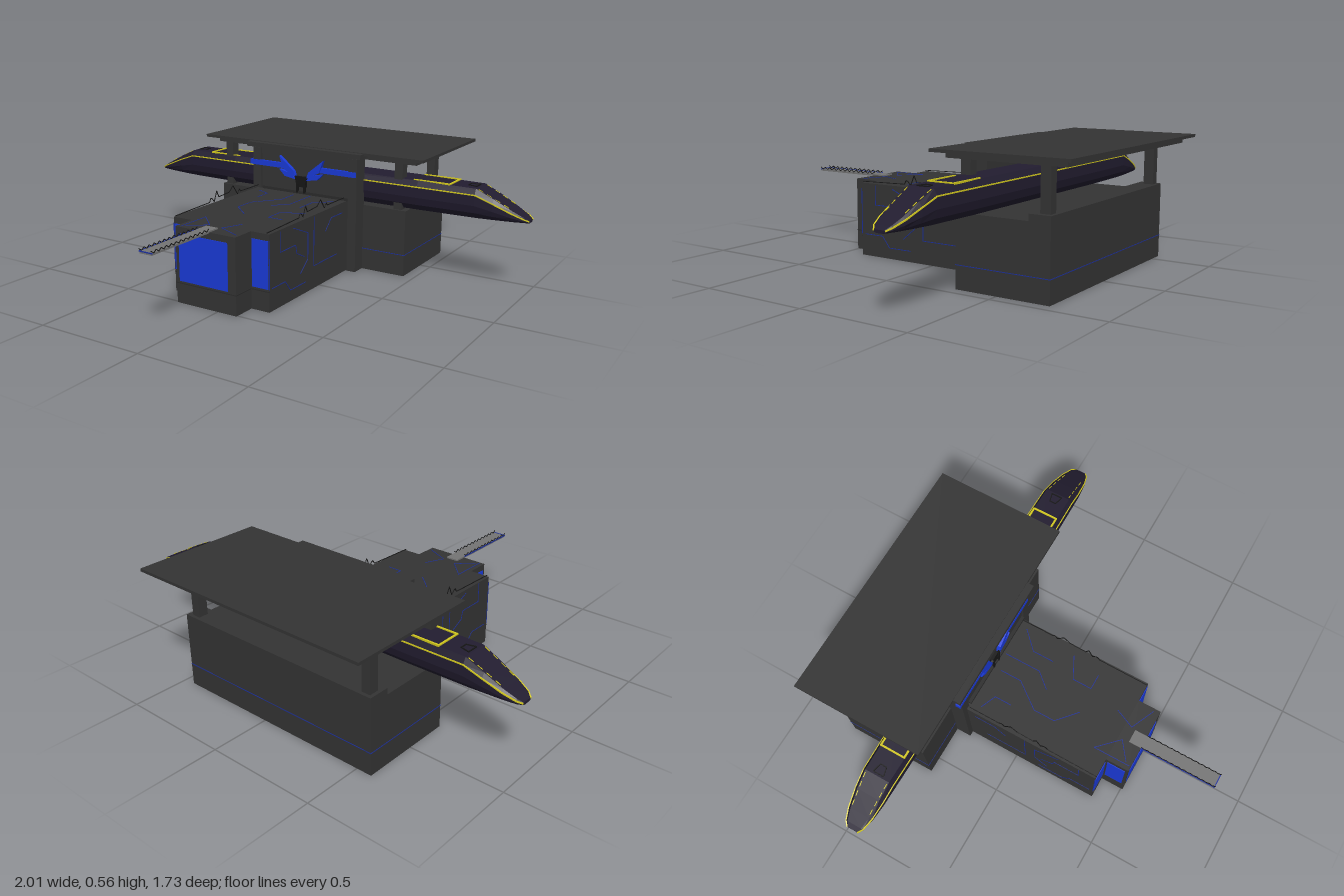
import * as THREE from 'three';

const mat = (color, extra = {}) => new THREE.MeshStandardMaterial({ color, ...extra });
const HULL = mat(0x343434), TRIM = mat(0x2b2b2b), BLUE = mat(0x1a3ad8), CIRCUIT = mat(0x1c2f9c);
const WING = mat(0x221d30, { flatShading: true, side: THREE.DoubleSide });
const YELLOW = mat(0xd2c81e), PLANK = mat(0x747474), BLACK = mat(0x161616);

export function createModel() {
  const model = new THREE.Group();

  const add = (name, geometry, material, parent = model) => {
    const m = new THREE.Mesh(geometry, material);
    m.name = name;
    parent.add(m);
    return m;
  };
  const box = (name, material, [x0, x1], [y0, y1], [z0, z1]) => {
    const m = add(name, new THREE.BoxGeometry(x1 - x0, y1 - y0, z1 - z0), material);
    m.position.set((x0 + x1) / 2, (y0 + y1) / 2, (z0 + z1) / 2);
    return m;
  };
  // Thin square bars joining a list of points
  const bars = (name, material, points, t = 0.004) => {
    const g = new THREE.Group();
    g.name = name;
    const p = points.map(q => new THREE.Vector3(...q));
    for (let i = 0; i < p.length - 1; i++) {
      const m = add(name + 'Bar', new THREE.BoxGeometry(t, t, p[i].distanceTo(p[i + 1]) + t * 0.5), material, g);
      m.position.copy(p[i]).lerp(p[i + 1], 0.5);
      m.lookAt(p[i + 1]);
    }
    model.add(g);
  };

  // Rear building with a raised back ledge
  box('rearBuilding', HULL, [-0.57, 0.45], [0, 0.31], [-0.735, -0.31]);
  box('rearLedge', HULL, [-0.57, 0.45], [0.31, 0.338], [-0.735, -0.64]);
  bars('rearBand', CIRCUIT, [[-0.57, 0.1, -0.31], [-0.57, 0.1, -0.735], [0.45, 0.1, -0.735],
    [0.45, 0.1, -0.31], [-0.57, 0.1, -0.31]], 0.003);

  // Front hall and narrower nose
  box('frontHall', HULL, [-0.31, 0.185], [0, 0.337], [-0.32, 0.4]);
  box('nose', HULL, [-0.212, 0.095], [0, 0.337], [0.4, 0.508]);
  box('noseWindow', BLUE, [-0.195, 0.055], [0.1, 0.308], [0.5, 0.511]);
  box('noseSideWindow', BLUE, [-0.215, -0.205], [0.1, 0.308], [0.41, 0.495]);
  box('rightWindow', BLUE, [-0.305, -0.217], [0.1, 0.308], [0.395, 0.403]);
  box('leftWindow', BLUE, [0.1, 0.18], [0.1, 0.308], [0.395, 0.403]);
  bars('windowTrim', TRIM, [[-0.31, 0.09, 0.402], [-0.212, 0.09, 0.402], [-0.212, 0.09, 0.508],
    [0.095, 0.09, 0.508], [0.095, 0.09, 0.402], [0.185, 0.09, 0.402]]);

  // Boarding plank with toothed edges
  box('plank', PLANK, [-0.095, -0.035], [0.334, 0.343], [0.45, 0.86]);
  for (const x of [-0.095, -0.035]) {
    const teeth = [];
    for (let i = 0; i <= 24; i++) teeth.push([x, i % 2 ? 0.343 : 0.353, 0.51 + i * 0.0147]);
    bars('plankTeeth', BLACK, teeth, 0.003);
  }
  bars('plankTrim', CIRCUIT, [[-0.097, 0.343, 0.51], [-0.097, 0.343, 0.86], [-0.033, 0.343, 0.86]]);

  // Jagged wire railings along the hall roof
  for (const x of [-0.3, 0.175]) {
    bars('railing', BLACK, [[x, 0.342, 0.4], [x, 0.348, 0.16], [x, 0.365, 0.15], [x, 0.362, 0.14],
      [x, 0.345, 0.125], [x, 0.39, 0.105], [x, 0.36, 0.09], [x, 0.365, 0.01], [x, 0.39, -0.02],
      [x, 0.345, -0.055], [x, 0.365, -0.07], [x, 0.352, -0.08], [x, 0.352, -0.23]], 0.003);
  }

  // Circuit lines on both hall sides, as [z, y]
  const sideLines = [
    [[0.32, 0.33], [0.32, 0.24], [0.2, 0.24], [0.19, 0.2], [0.13, 0.17]],
    [[0.05, 0.33], [0.05, 0.105], [-0.15, 0.105]],
    [[0.22, 0.32], [0.1, 0.27], [0.1, 0.15], [0.16, 0.1]],
    [[-0.05, 0.24], [-0.1, 0.29], [-0.2, 0.29]],
    [[0.38, 0.1], [0.28, 0.1], [0.24, 0.05], [0.12, 0.05]],
    [[0.4, 0.31], [0.4, 0.1]],
  ];
  for (const x of [-0.31, 0.185])
    for (const l of sideLines) bars('sideCircuit', CIRCUIT, l.map(([z, y]) => [x, y, z]), 0.003);

  // Circuit lines on the hall roof, as [x, z]
  const roofLines = [
    [[-0.27, -0.19], [-0.2, -0.16], [-0.2, -0.08]],
    [[-0.08, -0.2], [-0.08, -0.1], [-0.17, 0.02], [-0.17, 0.12], [-0.08, 0.2]],
    [[0, -0.22], [0, -0.05], [-0.06, 0.02]],
    [[0.14, 0.05], [0.04, 0.1], [0.04, 0.19], [0.11, 0.19]],
    [[-0.19, 0.5], [-0.19, 0.33], [-0.1, 0.42], [-0.18, 0.48]],
    [[0.08, 0.48], [-0.03, 0.43], [0.01, 0.34]],
    [[0.15, -0.2], [0.07, -0.12], [0.07, -0.02]],
  ];
  for (const l of roofLines) bars('roofCircuit', CIRCUIT, l.map(([x, z]) => [x, 0.337, z]), 0.003);

  // Gate wall between the hall and the rear building
  box('gateWall', HULL, [-0.33, 0.23], [0, 0.54], [-0.31, -0.25]);
  for (const x of [-0.335, 0.19]) box('gatePillar', HULL, [x, x + 0.045], [0, 0.535], [-0.315, -0.24]);
  box('gateSill', TRIM, [-0.28, 0.19], [0.335, 0.35], [-0.26, -0.235]);
  box('gateCap', HULL, [-0.36, 0.26], [0.54, 0.562], [-0.3, -0.222]);

  // Winged ornament on the gate: stripes, slanted blades and a dark bracket
  const cx = -0.06;
  for (const s of [-1, 1]) {
    const x0 = cx + s * 0.29, x1 = cx + s * 0.1;
    box('gateStripe', BLUE, [Math.min(x0, x1), Math.max(x0, x1)], [0.45, 0.475], [-0.26, -0.237]);
    const blades = [[[0.12, 0.51], [0.04, 0.445], [0.03, 0.415], [0.1, 0.45]],
      [[0.12, 0.445], [0.05, 0.43], [0.03, 0.405], [0.09, 0.415]]];
    for (const b of blades) {
      const shape = new THREE.Shape(b.map(([x, y]) => new THREE.Vector2(cx + s * x, y)));
      add('gateBlade', new THREE.ExtrudeGeometry(shape, { depth: 0.02, bevelEnabled: false }), BLUE)
        .position.z = -0.252;
    }
    bars('gateBracket', BLACK, [[cx + s * 0.028, 0.42, -0.236], [cx + s * 0.02, 0.385, -0.236],
      [cx + s * 0.02, 0.345, -0.236]], 0.01);
  }
  box('gateBracketPlate', BLACK, [cx - 0.025, cx + 0.025], [0.37, 0.42], [-0.255, -0.236]);

  // Roof slab on four posts
  box('roofSlab', HULL, [-0.63, 0.55], [0.552, 0.565], [-0.865, -0.255]);
  box('roofUnderside', HULL, [-0.58, 0.5], [0.528, 0.552], [-0.825, -0.3]);
  for (const x of [-0.535, 0.405]) {
    box('rearPost', HULL, [x - 0.02, x + 0.02], [0.335, 0.53], [-0.72, -0.675]);
    box('frontPost', HULL, [x - 0.02, x + 0.02], [0.305, 0.53], [-0.365, -0.32]);
  }

  // Long tapered wing: one section lofted through stations [x, top, bottom, half depth]
  const zc = -0.385;
  const section = [[-0.8, 1], [0.8, 1], [1, 0.8], [1, 0.45], [0.88, 0.2], [0.55, 0],
    [-0.55, 0], [-0.88, 0.2], [-1, 0.45], [-1, 0.8]];
  const half = [[0.5, 0.457, 0.318, 0.077], [0.77, 0.455, 0.32, 0.073], [0.85, 0.418, 0.322, 0.068],
    [0.93, 0.376, 0.324, 0.057], [0.98, 0.35, 0.325, 0.042], [1, 0.337, 0.325, 0.026]];
  const stations = [...half.map(([x, ...r]) => [-x, ...r]).reverse(), ...half];
  const at = ([x, top, bot, d], [u, v], grow = 0) => [x, bot + (top - bot) * v + grow, zc + d * u];
  const n = section.length, pos = stations.flatMap(s => section.flatMap(p => at(s, p))), idx = [];
  for (let i = 0; i < stations.length - 1; i++)
    for (let j = 0; j < n; j++) {
      const a = i * n + j, b = i * n + (j + 1) % n;
      idx.push(a, b, a + n, b, b + n, a + n);
    }
  const last = (stations.length - 1) * n;
  for (let j = 1; j < n - 1; j++) idx.push(0, j + 1, j, last, last + j, last + j + 1);
  const wing = new THREE.BufferGeometry();
  wing.setAttribute('position', new THREE.Float32BufferAttribute(pos, 3));
  wing.setIndex(idx);
  wing.computeVertexNormals();
  add('wing', wing, WING);

  // Yellow piping along the wing edges and hatch outlines on top
  for (const u of [-1, 1]) bars('wingPiping', YELLOW, stations.map(s => at(s, [u, 0.8])), 0.005);
  for (const s of [-1, 1]) {
    const y = 0.457, z0 = -0.443, z1 = -0.328;
    bars('wingHatch', YELLOW, [[s * 0.48, y, z0], [s * 0.65, y, z0], [s * 0.65, y, z1], [s * 0.48, y, z1]], 0.008);
    for (const u of [-0.75, 0.75])
      for (let i = 0; i < 4; i++) {
        const p = k => [s * (0.78 + k), 0.451 - k * 0.48, zc + u * (0.07 - k * 0.09)];
        bars('wingDash', YELLOW, [p(i * 0.038), p(i * 0.038 + 0.02)], 0.003);
      }
    bars('wingVent', BLACK, [[s * 0.72, 0.457, -0.4], [s * 0.76, 0.457, -0.41], [s * 0.76, 0.457, -0.36],
      [s * 0.72, 0.457, -0.37], [s * 0.72, 0.457, -0.4]], 0.004);
  }
  return model;
}
